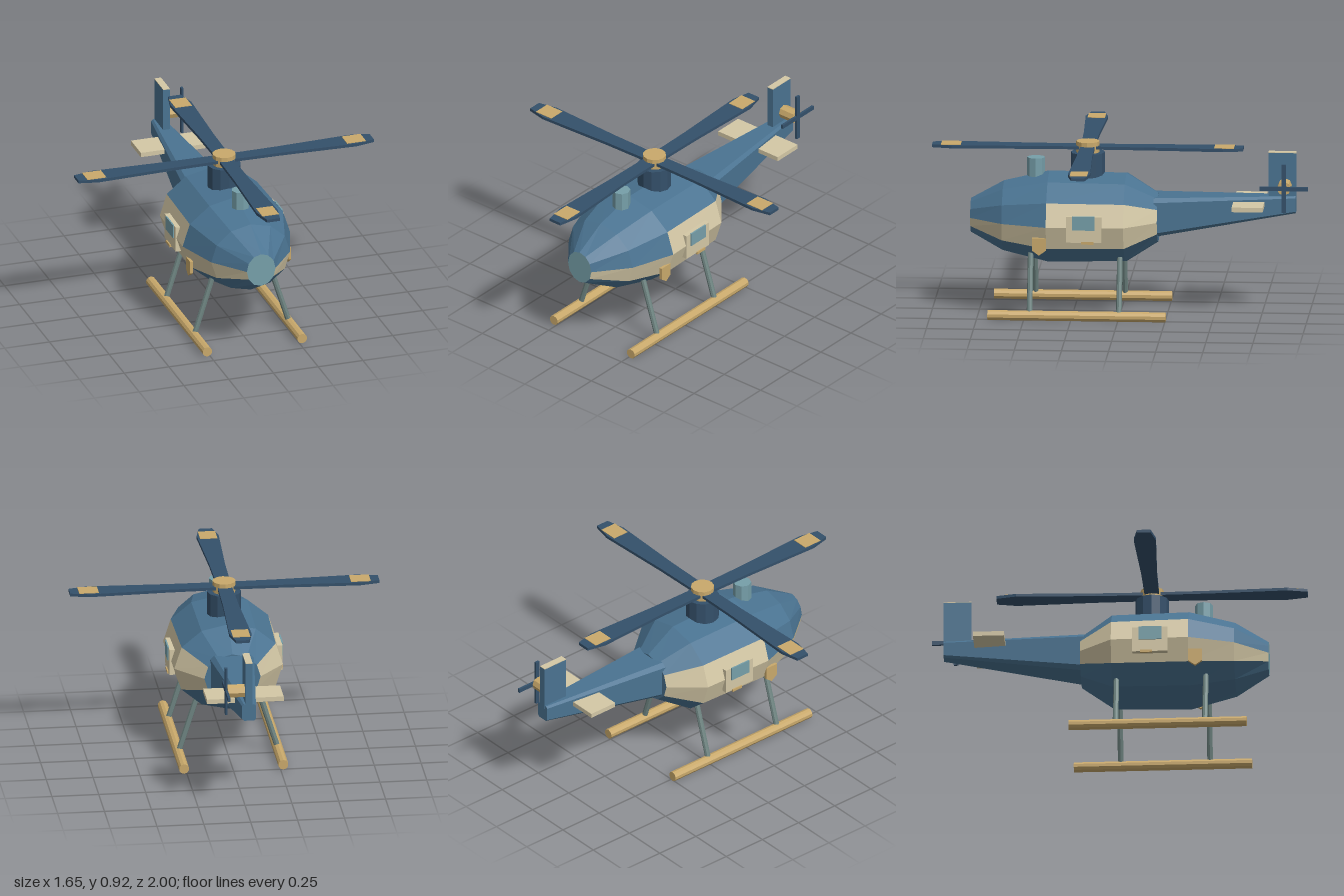
import * as THREE from 'three';

const mat = (name, color, extra = {}) => {
  const m = new THREE.MeshStandardMaterial({ color, flatShading: true, ...extra });
  m.name = name;
  return m;
};

export function createModel() {
  const blue = mat('hull blue', 0x4a7391);
  const navy = mat('rotor navy', 0x34506a);
  const cream = mat('cream', 0xd4c8a6);
  const gold = mat('gold', 0xc9a96b);
  const glass = mat('glass', 0x769fa9);
  const steel = mat('strut grey', 0x708683);

  const model = new THREE.Group();
  model.name = 'helicopter';

  const add = (name, geo, material, x = 0, y = 0, z = 0, parent = model) => {
    const m = new THREE.Mesh(geo, material);
    m.name = name;
    m.position.set(x, y, z);
    parent.add(m);
    return m;
  };
  const box = (w, h, d) => new THREE.BoxGeometry(w, h, d);
  const cyl = (r, h, n) => new THREE.CylinderGeometry(r, r, h, n);

  // Skin between rings ordered front to back; pick(i, j) gives the material index.
  // Ring index -1 is the front cap, rings.length the back cap.
  const loft = (rings, pick) => {
    const buckets = [[], [], []];
    const n = rings[0].length;
    const centre = r => r.reduce((s, p) => s.add(p), new THREE.Vector3()).divideScalar(n);
    const first = rings[0], last = rings[rings.length - 1];
    const cf = centre(first), cb = centre(last);
    for (let j = 0; j < n; j++) {
      const k = (j + 1) % n;
      buckets[pick(-1, j)].push(cf, first[j], first[k]);
      buckets[pick(rings.length, j)].push(cb, last[k], last[j]);
      for (let i = 0; i < rings.length - 1; i++) {
        const a = rings[i][j], b = rings[i][k], c = rings[i + 1][k], d = rings[i + 1][j];
        buckets[pick(i, j)].push(a, d, c, a, c, b);
      }
    }
    const geo = new THREE.BufferGeometry().setFromPoints(buckets.flat());
    let start = 0;
    buckets.forEach((b, i) => {
      if (b.length) geo.addGroup(start, b.length, i);
      start += b.length;
    });
    geo.computeVertexNormals();
    return geo;
  };

  // Cabin: twelve-sided rings [z, half width, half height, centre y]
  const cabinRings = [
    [0.795, 0.08, 0.092, 0.511], [0.62, 0.22, 0.19, 0.511], [0.38, 0.3, 0.247, 0.511],
    [-0.03, 0.29, 0.24, 0.511], [-0.2, 0.15, 0.132, 0.513],
  ].map(([z, w, h, y]) => Array.from({ length: 12 }, (_, j) => {
    const a = (j / 12) * Math.PI * 2;
    return new THREE.Vector3(Math.cos(a) * w, y + Math.sin(a) * h, z);
  }));
  add('cabin', loft(cabinRings, (i, j) => {
    if (i === -1) return 2;
    if (i === cabinRings.length) return 0;
    if (j === 11 || j === 6) return 1;
    return i >= 2 && (j === 0 || j === 5) ? 1 : 0;
  }), [blue, cream, glass]);

  // Tail boom: tapered, chamfered box section [z, half width, bottom, top, chamfer]
  const boomRings = [[-0.18, 0.117, 0.425, 0.635, 0.022], [-0.93, 0.037, 0.55, 0.642, 0.01]]
    .map(([z, w, b, t, c]) => [
      [w, b + c], [w, t - c], [w - c, t], [c - w, t], [-w, t - c], [-w, b + c], [c - w, b], [w - c, b],
    ].map(([x, y]) => new THREE.Vector3(x, y, z)));
  add('tailBoom', loft(boomRings, () => 0), [blue]);

  // Tail surfaces
  add('fin', box(0.037, 0.25, 0.148), blue, 0, 0.748, -0.858);
  add('finCap', box(0.037, 0.004, 0.148), cream, 0, 0.875, -0.858);
  add('stabilizer', box(0.41, 0.025, 0.165), cream, 0, 0.602, -0.683);

  // Tail rotor
  const tailHub = add('tailRotorHub', cyl(0.037, 0.1, 8), gold, 0.06, 0.7, -0.872);
  tailHub.rotation.z = Math.PI / 2;
  add('tailRotorBlade', box(0.013, 0.26, 0.024), navy, 0.115, 0.7, -0.872);
  add('tailRotorBlade', box(0.013, 0.022, 0.256), navy, 0.115, 0.7, -0.872);

  // Mast and main rotor
  const rotor = new THREE.Group();
  rotor.name = 'mainRotor';
  rotor.position.set(0, 0, 0.175);
  model.add(rotor);
  add('mast', cyl(0.09, 0.13, 12), navy, 0, 0.797, 0, rotor);
  add('rotorHub', cyl(0.062, 0.062, 12), gold, 0, 0.89, 0, rotor);

  const outline = [[0, 0.038], [0.3, 0.042], [0.72, 0.059], [0.825, 0.036]];
  const bladeShape = new THREE.Shape([
    ...outline.map(([x, y]) => new THREE.Vector2(x, -y)),
    ...outline.map(([x, y]) => new THREE.Vector2(x, y)).reverse(),
  ]);
  const bladeGeo = new THREE.ExtrudeGeometry(bladeShape, { depth: 0.016, bevelEnabled: false });
  bladeGeo.rotateX(-Math.PI / 2);
  for (let i = 0; i < 4; i++) {
    const arm = new THREE.Group();
    arm.name = 'rotorArm';
    arm.rotation.y = (i * Math.PI) / 2;
    rotor.add(arm);
    add('rotorBlade', bladeGeo, navy, 0, 0.882, 0, arm);
    add('bladePanel', box(0.105, 0.004, 0.092), gold, 0.725, 0.899, 0, arm);
  }

  // Roof beacon
  add('roofBeacon', cyl(0.048, 0.1, 8), glass, 0, 0.78, 0.45);

  // Pointed side badge
  const flapShape = new THREE.Shape([
    [-0.037, 0.047], [-0.037, -0.02], [0, -0.047], [0.037, -0.02], [0.037, 0.047],
  ].map(p => new THREE.Vector2(...p)));
  const flapGeo = new THREE.ExtrudeGeometry(flapShape, { depth: 0.016, bevelEnabled: false });
  flapGeo.translate(0, 0, -0.008).rotateY(Math.PI / 2);

  // Doors, side flaps, struts and skids on both sides
  for (const s of [1, -1]) {
    add('door', box(0.03, 0.14, 0.187), cream, s * 0.287, 0.503, 0.178);
    add('doorWindow', box(0.008, 0.075, 0.12), glass, s * 0.304, 0.538, 0.18);
    add('doorHandle', box(0.012, 0.014, 0.065), gold, s * 0.303, 0.432, 0.158);
    add('sideFlap', flapGeo, gold, s * 0.274, 0.403, 0.417);

    const skid = add('skid', cyl(0.027, 0.945, 10), gold, s * 0.265, 0.027, 0.218);
    skid.rotation.x = Math.PI / 2;

    for (const z of [0.468, -0.006]) {
      const top = new THREE.Vector3(s * 0.16, 0.36, z);
      const foot = new THREE.Vector3(s * 0.263, 0.035, z);
      const dir = top.clone().sub(foot);
      const mid = top.clone().add(foot).multiplyScalar(0.5);
      const strut = add('strut', cyl(0.015, dir.length(), 8), steel, mid.x, mid.y, mid.z);
      strut.quaternion.setFromUnitVectors(new THREE.Vector3(0, 1, 0), dir.normalize());
    }
  }

  return model;
}
